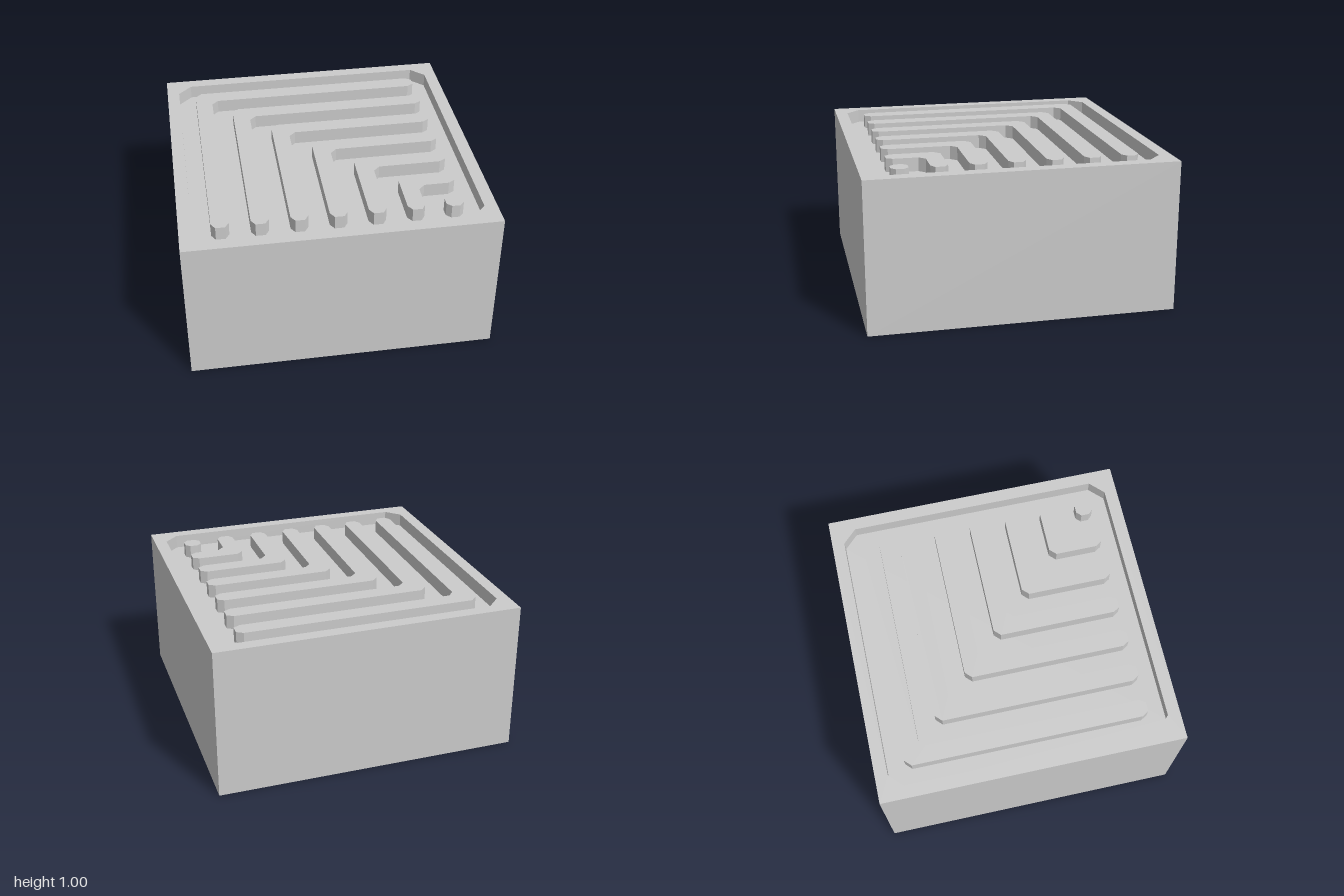
import * as THREE from 'three';

const TOP = 1, FLOOR = 0.91;
const INNER = 0.917, POCKET_CHAMFER = 0.09;
const END = 0.8, RIB_WIDTH = 0.113, CHAMFER = 0.042, TIP = 0.026, RIB_COUNT = 6;
const PITCH = (2 * END - RIB_WIDTH) / RIB_COUNT;

const material = new THREE.MeshStandardMaterial({ color: 0xcccccc, flatShading: true });

// Outlines are [x, z] points; shape y is -z so that layFlat puts them on the ground plane
const toShape = (points) => new THREE.Shape(points.map(([x, z]) => new THREE.Vector2(x, -z)));
const layFlat = (geometry, y) => geometry.rotateX(-Math.PI / 2).translate(0, y, 0);

function addMesh(parent, name, geometry) {
  const mesh = new THREE.Mesh(geometry, material);
  mesh.name = name;
  parent.add(mesh);
}

// Square with cut corners
function chamferedSquare(cx, cz, half, cut) {
  const k = half - cut;
  return [[-k, -half], [k, -half], [half, -k], [half, k], [k, half], [-k, half], [-half, k], [-half, -k]]
    .map(([x, z]) => [cx + x, cz + z]);
}

// L-shaped rib: one arm, then its mirror across the diagonal
function ribOutline(a) {
  const b = a + RIB_WIDTH;
  const arm = [
    [a + CHAMFER, a], [END - CHAMFER, a], [END, a + TIP],
    [END, b - TIP], [END - CHAMFER, b], [b + CHAMFER, b],
  ];
  return [...arm, ...arm.map(([x, z]) => [z, x]).reverse()];
}

// Inward-facing wall following a closed outline
function wallGeometry(points, y0, y1) {
  const positions = [];
  points.forEach(([x0, z0], i) => {
    const [x1, z1] = points[(i + 1) % points.length];
    positions.push(x0, y0, z0, x1, y0, z1, x1, y1, z1, x0, y0, z0, x1, y1, z1, x0, y1, z0);
  });
  const geometry = new THREE.BufferGeometry();
  geometry.setAttribute('position', new THREE.Float32BufferAttribute(positions, 3));
  geometry.computeVertexNormals();
  return geometry;
}

export function createModel() {
  const group = new THREE.Group();
  group.name = 'groovedBlock';

  // Block sides and bottom: a box without its top face (third of six)
  const block = new THREE.BoxGeometry(2, TOP, 2).translate(0, TOP / 2, 0);
  const index = Array.from(block.index.array);
  index.splice(12, 6);
  block.setIndex(index);
  block.clearGroups();
  addMesh(group, 'blockSides', block);

  // Rim, pocket wall and pocket floor
  const pocket = chamferedSquare(0, 0, INNER, POCKET_CHAMFER);
  const rim = toShape([[-1, -1], [1, -1], [1, 1], [-1, 1]]);
  rim.holes.push(toShape(pocket));
  addMesh(group, 'rim', layFlat(new THREE.ShapeGeometry(rim), TOP));
  addMesh(group, 'pocketWall', wallGeometry(pocket, FLOOR, TOP));
  addMesh(group, 'pocketFloor', layFlat(new THREE.ShapeGeometry(toShape(pocket)), FLOOR));

  // Nested ribs, ending in a small octagonal post in the corner
  const ribs = new THREE.Group();
  ribs.name = 'ribs';
  group.add(ribs);
  const extrude = (points) => layFlat(
    new THREE.ExtrudeGeometry(toShape(points), { depth: TOP - FLOOR, bevelEnabled: false }), FLOOR);
  for (let i = 0; i < RIB_COUNT; i++) {
    addMesh(ribs, `rib${i + 1}`, extrude(ribOutline(-END + i * PITCH)));
  }
  const centre = END - RIB_WIDTH / 2;
  addMesh(ribs, 'cornerPost', extrude(chamferedSquare(centre, centre, RIB_WIDTH / 2, 0.03)));

  return group;
}
